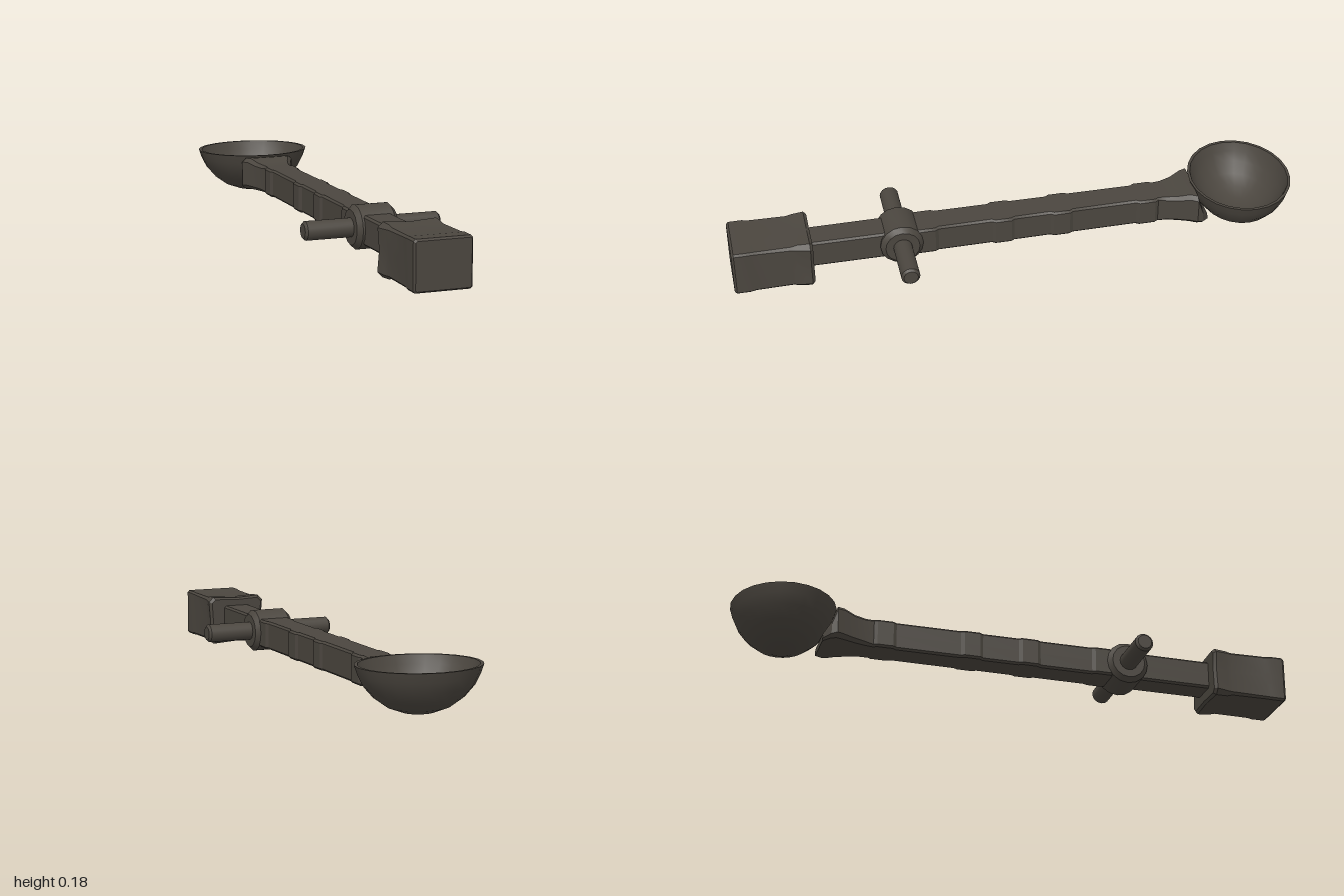
import * as THREE from 'three';
import { toCreasedNormals } from 'three/addons/utils/BufferGeometryUtils.js';

// Bevelled rectangle outline, counter-clockwise seen from +z; p pinches the edge middles
function ring([z, hx, y0, y1, c, p = 0]) {
  const ym = (y0 + y1) / 2;
  return [
    [hx - p, ym], [hx, y1 - c], [hx - c, y1], [0, y1 - p],
    [c - hx, y1], [-hx, y1 - c], [p - hx, ym], [-hx, y0 + c],
    [c - hx, y0], [0, y0 + p], [hx - c, y0], [hx, y0 + c],
  ].map(([x, y]) => [x, y, z]);
}

// Closed skin through sections [z, halfWidth, bottom, top, bevel, pinch] with rising z
function loft(sections, crease = 0.5) {
  const n = 12, last = sections.length - 1;
  const pos = [], idx = [];
  sections.forEach((s) => ring(s).forEach((v) => pos.push(...v)));
  for (let i = 0; i < last; i++) {
    for (let j = 0; j < n; j++) {
      const k = (j + 1) % n;
      const a = i * n + j, b = i * n + k, c = b + n, d = a + n;
      idx.push(a, b, c, a, c, d);
    }
  }
  [0, last].forEach((i) => {
    const [z, , y0, y1] = sections[i];
    const centre = pos.length / 3;
    pos.push(0, (y0 + y1) / 2, z);
    for (let j = 0; j < n; j++) {
      const a = i * n + j, b = i * n + (j + 1) % n;
      idx.push(centre, ...(i ? [a, b] : [b, a]));
    }
  });
  const g = new THREE.BufferGeometry();
  g.setAttribute('position', new THREE.Float32BufferAttribute(pos, 3));
  g.setIndex(idx);
  return toCreasedNormals(g, crease);
}

const lathe = (points, sides) =>
  new THREE.LatheGeometry(points.map(([r, y]) => new THREE.Vector2(r, y)), sides);

// Bevelled rod lying along x
function rod(r, half, bevel, sides) {
  const g = lathe([[0, -half], [r - bevel, -half], [r, bevel - half],
    [r, half - bevel], [r - bevel, half], [0, half]], sides);
  return toCreasedNormals(g.rotateZ(Math.PI / 2), 0.6);
}

export function createModel() {
  const model = new THREE.Group();
  model.name = 'throwingArm';
  const wood = new THREE.MeshStandardMaterial({ color: 0x4b463f });
  wood.name = 'darkWood';
  const add = (name, geometry, x = 0, y = 0, z = 0) => {
    const mesh = new THREE.Mesh(geometry, wood);
    mesh.name = name;
    mesh.position.set(x, y, z);
    model.add(mesh);
  };

  // Beam: neck widening into the bowl, then a straight bar with swollen bands
  const beam = [
    [-0.69, 0.07, 0.035, 0.06, 0.008],
    [-0.665, 0.095, 0.04, 0.1, 0.012],
    [-0.645, 0.1, 0.043, 0.16, 0.015],
    [-0.62, 0.088, 0.045, 0.162, 0.014],
    [-0.58, 0.071, 0.045, 0.15, 0.012],
    [-0.54, 0.058, 0.045, 0.146, 0.01],
  ];
  [[-0.47, 0.04], [-0.16, 0.04], [0.05, 0.04], [0.32, 0.04]].forEach(([z, h]) => {
    [[-h, 0.052], [0.012 - h, 0.059], [h - 0.012, 0.059], [h, 0.051]].forEach(([dz, hx]) =>
      beam.push([z + dz, hx, 0.044, 0.146, 0.007]));
  });
  beam.push([0.74, 0.05, 0.044, 0.146, 0.007]);
  add('beam', loft(beam));

  // Counterweight block with a flared collar on its inner end
  add('counterweight', loft([
    [0.722, 0.1, 0.008, 0.172, 0.014, 0.004],
    [0.732, 0.11, 0.0, 0.18, 0.018, 0.006],
    [0.775, 0.102, 0.002, 0.178, 0.014, 0.005],
    [0.795, 0.097, 0.008, 0.173, 0.009],
    [0.925, 0.097, 0.008, 0.174, 0.007],
    [0.945, 0.1, 0.006, 0.176, 0.007],
    [0.992, 0.1, 0.006, 0.176, 0.007],
    [1.0, 0.094, 0.012, 0.17, 0.005],
  ]));

  // Pivot: round hub across the beam with a thin axle through it
  add('pivotHub', rod(0.076, 0.074, 0.016, 16), 0, 0.097, 0.41);
  add('axle', rod(0.033, 0.243, 0.008, 16), 0, 0.097, 0.41);

  // Bowl: outer skin, rim and hollow inside, narrowed along z
  const bowl = lathe([
    [0, 0.008], [0.055, 0.013], [0.105, 0.031], [0.15, 0.063], [0.182, 0.1],
    [0.2, 0.135], [0.211, 0.167], [0.2, 0.167], [0.188, 0.137], [0.17, 0.105],
    [0.138, 0.07], [0.097, 0.042], [0.05, 0.026], [0, 0.021],
  ], 24).scale(1, 1, 0.86);
  add('bowl', toCreasedNormals(bowl, 0.7), 0, 0, -0.819);

  return model;
}
